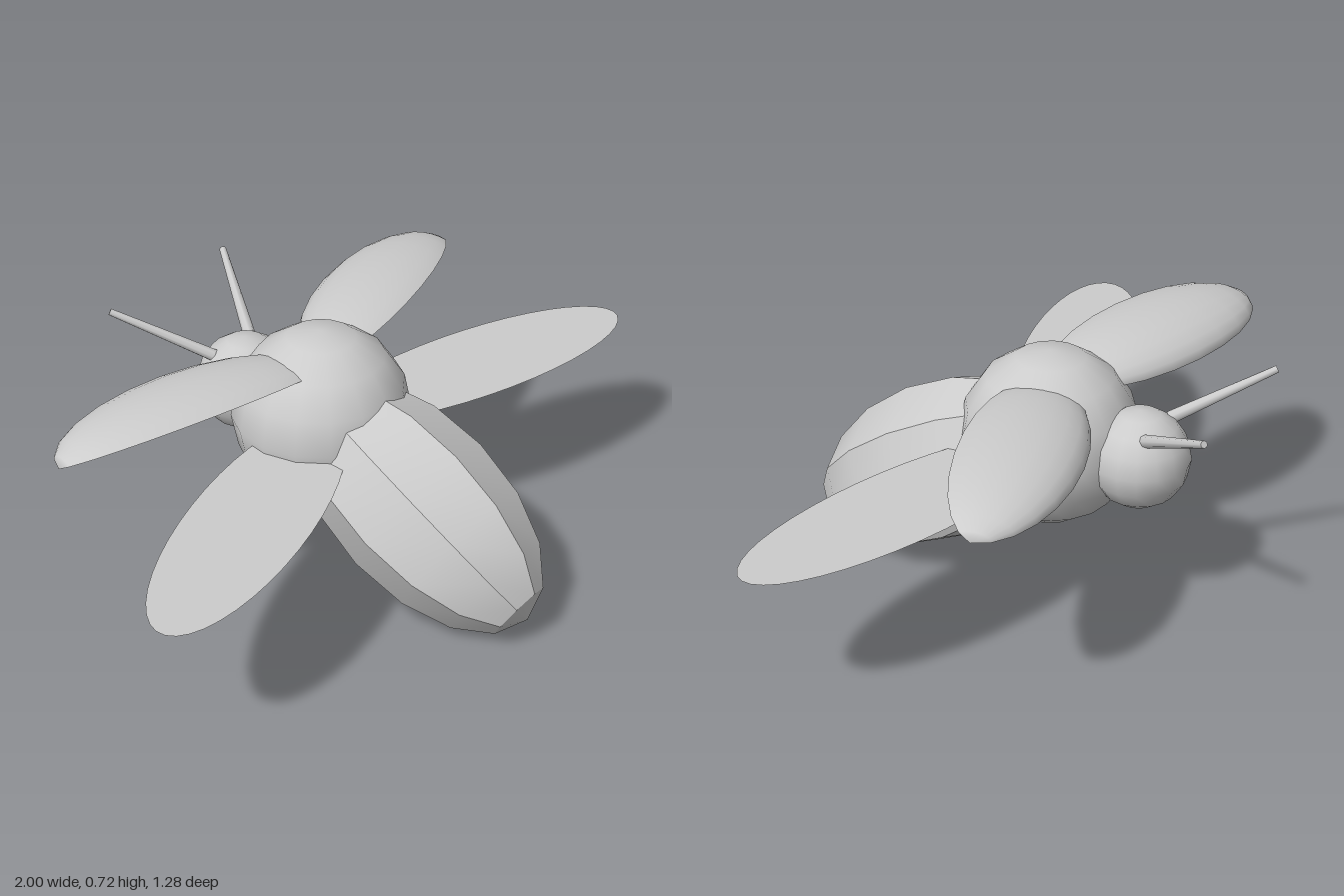
import * as THREE from 'three';
import { toCreasedNormals } from 'three/addons/utils/BufferGeometryUtils.js';

export function createModel() {
  const model = new THREE.Group();
  model.name = 'bee';

  const bodyGrey = new THREE.MeshStandardMaterial({ color: 0xcccccc, side: THREE.DoubleSide });
  bodyGrey.name = 'body grey';

  const add = (name, geometry, parent = model) => {
    const mesh = new THREE.Mesh(geometry, bodyGrey);
    mesh.name = name;
    parent.add(mesh);
    return mesh;
  };

  // Round thorax and head
  add('thorax', new THREE.SphereGeometry(0.25, 16, 8)).position.set(0, 0.48, -0.08);
  add('head', new THREE.SphereGeometry(0.14, 16, 8)).position.set(0, 0.475, -0.35);

  // Eight-sided abdomen, ridged lengthwise, sloping down to the tail
  const abdomenShape = new THREE.SphereGeometry(1, 8, 8).scale(0.235, 0.43, 0.235);
  const abdomen = add('abdomen', toCreasedNormals(abdomenShape, 0.5));
  abdomen.rotation.x = 2.106;
  abdomen.position.set(0, 0.304, 0.256);

  // Fore wing: an arched slice of an ellipsoid with its poles at root and tip
  const foreWingShape = new THREE.SphereGeometry(1, 8, 12, 0, THREE.MathUtils.degToRad(130));
  foreWingShape.applyMatrix4(new THREE.Matrix4().makeBasis(
    new THREE.Vector3(0, 0, 1), new THREE.Vector3(1, 0, 0), new THREE.Vector3(0, 1, 0)));
  foreWingShape.scale(0.41, 0.09, 0.19);

  // Hind wing: a flat horizontal ellipse
  const hindWingShape = new THREE.CircleGeometry(1, 40).rotateX(-Math.PI / 2).scale(0.52, 1, 0.168);

  // Antenna: a tapered rod from the head forwards
  const antennaBase = new THREE.Vector3(0.075, 0.57, -0.4);
  const antennaTip = new THREE.Vector3(0.238, 0.7, -0.635);
  const antennaAxis = antennaTip.clone().sub(antennaBase);
  const antennaShape = new THREE.CylinderGeometry(0.01, 0.018, antennaAxis.length(), 8);

  for (const [label, side] of [['left', 1], ['right', -1]]) {
    const half = new THREE.Group();
    half.name = label + 'Side';
    half.scale.x = side;
    model.add(half);

    const foreWing = add(label + 'ForeWing', foreWingShape, half);
    foreWing.rotation.y = THREE.MathUtils.degToRad(15);
    foreWing.position.set(0.405, 0.615, -0.18);

    const hindWing = add(label + 'HindWing', hindWingShape, half);
    hindWing.rotation.y = THREE.MathUtils.degToRad(-17);
    hindWing.position.set(0.5, 0.46, 0.09);

    const antenna = add(label + 'Antenna', antennaShape, half);
    antenna.position.copy(antennaBase).add(antennaTip).multiplyScalar(0.5);
    antenna.quaternion.setFromUnitVectors(new THREE.Vector3(0, 1, 0), antennaAxis.clone().normalize());
  }
  return model;
}
